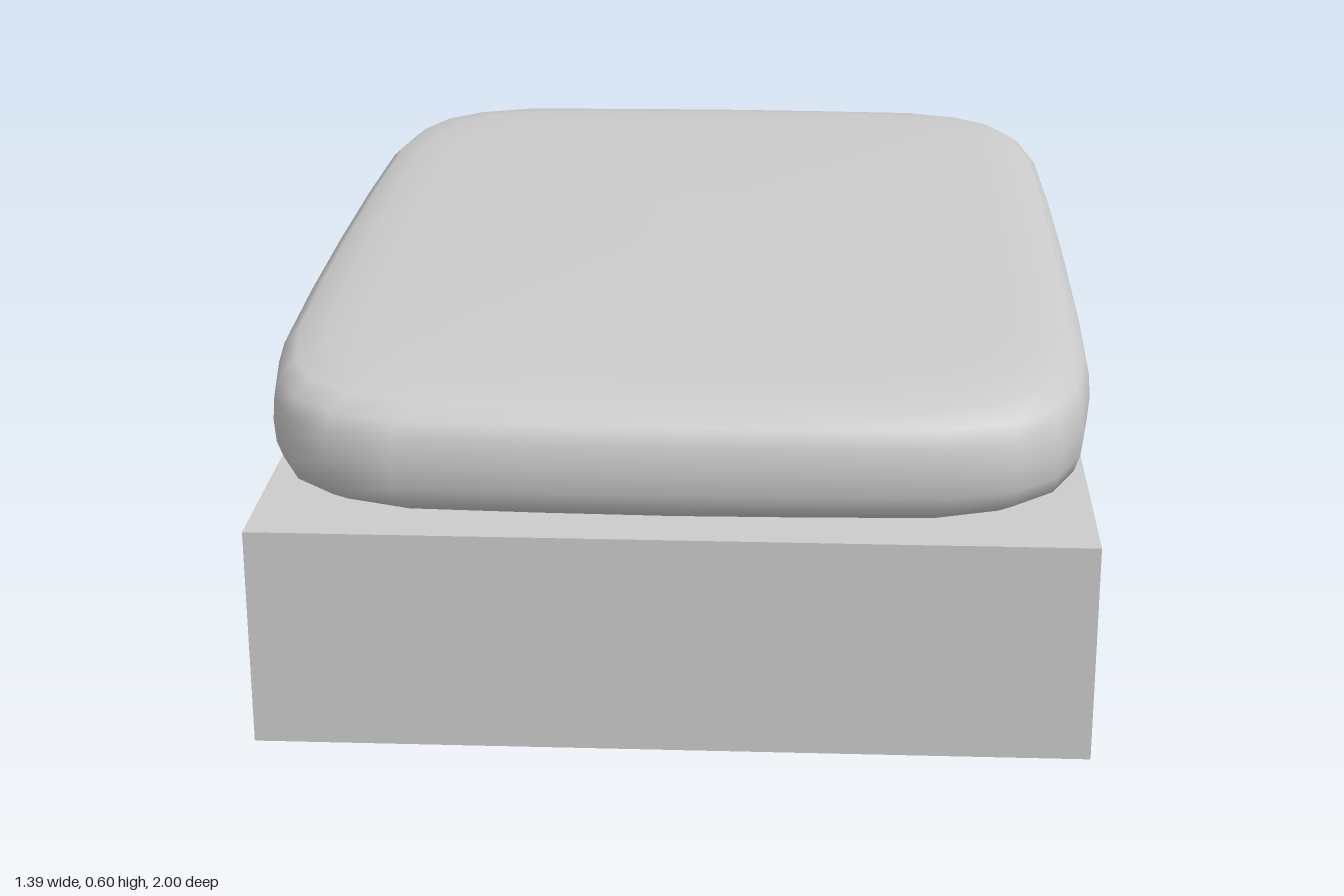
import * as THREE from 'three';
import { mergeVertices } from 'three/addons/utils/BufferGeometryUtils.js';

// Quarter of the mattress plan outline (x, z), from the side to the front
const QUARTER = [
  [0.696, 0], [0.694, 0.32], [0.687, 0.62], [0.662, 0.79], [0.62, 0.885],
  [0.55, 0.95], [0.44, 0.988], [0.22, 0.996], [0, 1],
];

// Cross-section from bottom centre to top centre: (scale of outline, height)
const PROFILE = [
  [0, 0.374], [0.35, 0.374], [0.64, 0.376], [0.8, 0.38], [0.88, 0.385], [0.95, 0.396],
  [0.983, 0.416], [0.996, 0.447], [1, 0.487], [0.996, 0.527],
  [0.983, 0.558], [0.95, 0.579], [0.88, 0.59], [0.8, 0.595], [0.64, 0.598], [0.35, 0.6], [0, 0.6],
];

// Mirror the quarter into a closed loop
function fullOutline() {
  const back = QUARTER.slice(0, -1).reverse().map(([x, z]) => [-x, z]);
  const half = [...QUARTER, ...back];
  return [...half, ...half.slice(1, -1).reverse().map(([x, z]) => [x, -z])];
}

// Skin scaled copies of the outline into a soft pillow shape
function cushionGeometry() {
  const outline = fullOutline();
  const n = outline.length;
  const positions = [];
  const index = [];
  PROFILE.forEach(([s, y], r) => {
    outline.forEach(([x, z], i) => {
      positions.push(x * s, y, z * s);
      if (r === PROFILE.length - 1) return;
      const a = r * n + i;
      const b = r * n + (i + 1) % n;
      if (r > 0) index.push(a, a + n, b);
      if (r < PROFILE.length - 2) index.push(b, a + n, b + n);
      else index.push();
    });
  });
  const geometry = new THREE.BufferGeometry();
  geometry.setAttribute('position', new THREE.Float32BufferAttribute(positions, 3));
  geometry.setIndex(index);
  const merged = mergeVertices(geometry, 1e-5);
  merged.computeVertexNormals();
  return merged;
}

export function createModel() {
  const group = new THREE.Group();
  group.name = 'bed';
  const material = new THREE.MeshStandardMaterial({ color: 0xcccccc });

  // Plain box base
  const base = new THREE.Mesh(new THREE.BoxGeometry(1.36, 0.37, 1.975), material);
  base.name = 'base';
  base.position.y = 0.185;
  group.add(base);

  // Rounded mattress resting on the base
  const mattress = new THREE.Mesh(cushionGeometry(), material);
  mattress.name = 'mattress';
  group.add(mattress);

  return group;
}
